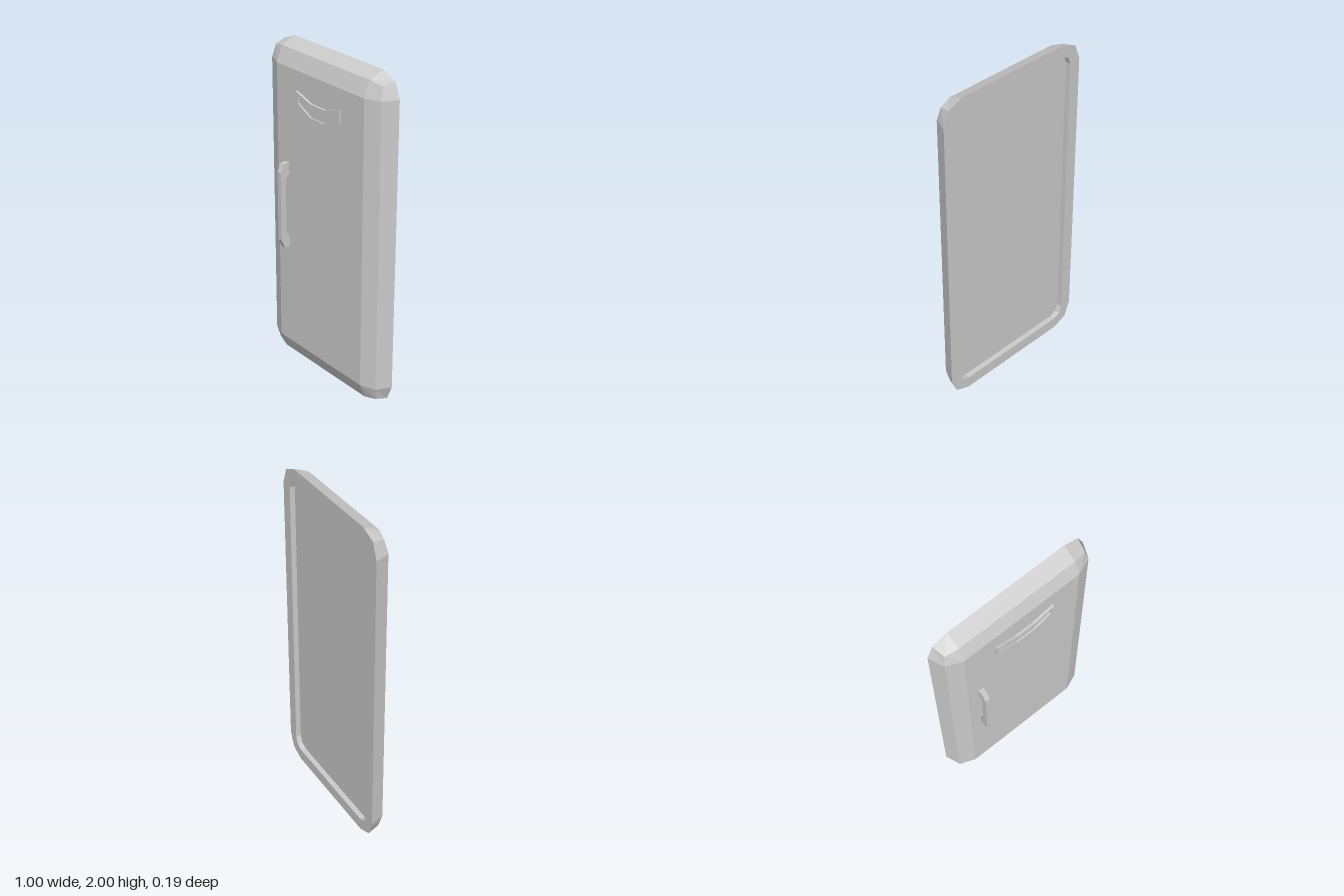
import * as THREE from 'three';

const material = new THREE.MeshStandardMaterial({ color: 0xcccccc, flatShading: true });
const MID_Y = 1;

// Mirror one corner (side point, diagonal point, top point) into a closed ring
function ring(corner) {
  const flip = (sx, sy) => corner.map(([x, y, z]) => [sx * x, sy * y + MID_Y, z]);
  return [...flip(1, 1), ...flip(-1, 1).reverse(), ...flip(-1, -1), ...flip(1, -1).reverse()];
}

// Skin successive rings and close both ends
function loft(rings) {
  const n = rings[0].length;
  const positions = [];
  const tri = (a, b, c) => positions.push(...a, ...b, ...c);
  for (let r = 0; r < rings.length - 1; r++) {
    for (let i = 0; i < n; i++) {
      const j = (i + 1) % n;
      const [a, b, c, d] = [rings[r][i], rings[r][j], rings[r + 1][j], rings[r + 1][i]];
      tri(a, b, c);
      if (c.join() !== d.join()) tri(a, c, d);
    }
  }
  const first = rings[0], last = rings[rings.length - 1];
  for (let i = 1; i < n - 1; i++) {
    tri(first[0], first[i + 1], first[i]);
    tri(last[0], last[i], last[i + 1]);
  }
  const geometry = new THREE.BufferGeometry();
  geometry.setAttribute('position', new THREE.Float32BufferAttribute(positions, 3));
  geometry.computeVertexNormals();
  return geometry;
}

const toShape = (points) => new THREE.Shape(points.map(([x, y]) => new THREE.Vector2(x, y)));

function extrude(shape, depth) {
  return new THREE.ExtrudeGeometry(shape, { depth, bevelEnabled: false });
}

function addPart(group, name, geometry) {
  const mesh = new THREE.Mesh(geometry, material);
  mesh.name = name;
  group.add(mesh);
  return mesh;
}

export function createModel() {
  const group = new THREE.Group();
  group.name = 'fridgeDoor';

  // Door shell: recessed back panel, rim, flared side, bevelled front
  const inner = (z) => ring([[0.428, 0.865, z], [0.41, 0.91, z], [0.365, 0.928, z]]);
  addPart(group, 'doorPanel', loft([
    inner(-0.062),
    inner(-0.094),
    ring([[0.5, 0.87, -0.094], [0.463, 0.963, -0.094], [0.37, 1, -0.094]]),
    ring([[0.463, 0.87, -0.003], [0.447, 0.947, -0.02], [0.37, 0.963, -0.003]]),
    ring([[0.37, 0.87, 0.034], [0.37, 0.87, 0.034], [0.37, 0.87, 0.034]]),
  ]));

  // Handle: side profile as (distance forward, height), extruded across the width
  const handle = addPart(group, 'handle', extrude(toShape([
    [-0.03, 0.77], [-0.07, 0.77], [-0.094, 0.82], [-0.094, 1.25], [-0.07, 1.3], [-0.03, 1.3],
    [-0.03, 1.24], [-0.058, 1.2], [-0.058, 0.865], [-0.03, 0.83],
  ]), 0.03));
  handle.rotation.y = Math.PI / 2;
  handle.position.x = -0.302;

  // Curved badge plate with a raised border around a sunken blank face
  const outline = toShape([
    [-0.18, 1.76], [-0.18, 1.682], [-0.052, 1.625], [0.068, 1.625],
    [0.193, 1.682], [0.193, 1.76], [0.068, 1.72], [-0.052, 1.72],
  ]);
  const opening = [
    [-0.16, 1.735], [-0.16, 1.694], [-0.048, 1.64], [0.064, 1.64],
    [0.175, 1.694], [0.175, 1.735], [0.064, 1.706], [-0.048, 1.706],
  ];
  outline.holes.push(toShape(opening));
  const badge = new THREE.Group();
  badge.name = 'badgePlate';
  addPart(badge, 'badgeBorder', extrude(outline, 0.014));
  addPart(badge, 'badgeFace', extrude(toShape(opening), 0.005));
  badge.position.z = 0.039;
  group.add(badge);

  return group;
}
